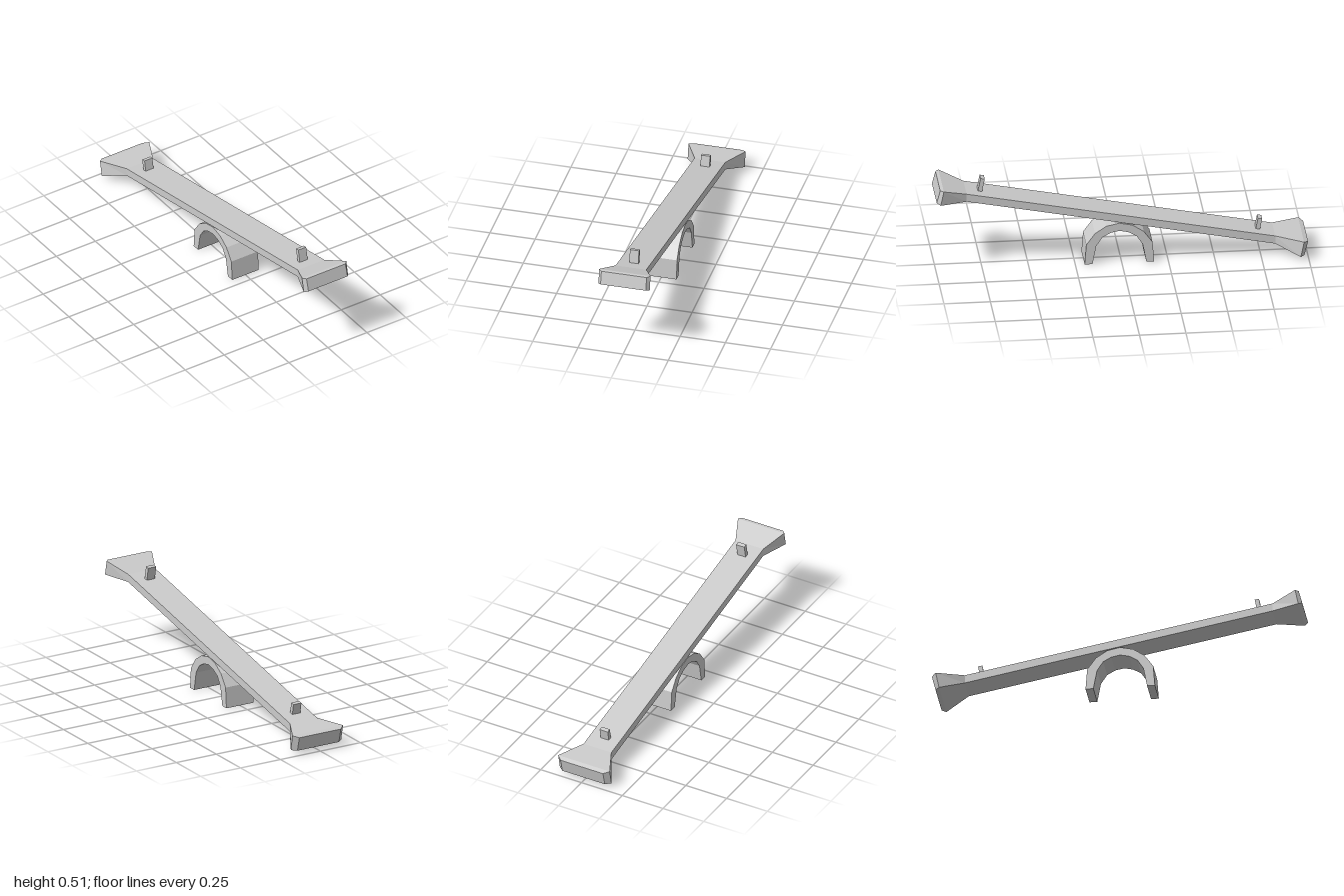
import * as THREE from 'three';

const TILT = -0.195;
const material = new THREE.MeshStandardMaterial({ color: 0xcccccc, flatShading: true });

// Closed solid through rectangular sections: [zTop, yTop, zBottom, yBottom, halfWidth]
function loft(sections) {
  const positions = [];
  const index = [];
  for (const [zt, yt, zb, yb, w] of sections) {
    positions.push(w, yb, zb, w, yt, zt, -w, yt, zt, -w, yb, zb);
  }
  const last = (sections.length - 1) * 4;
  for (let s = 0; s < last; s += 4) {
    for (let i = 0; i < 4; i++) {
      const a = s + i, b = s + (i + 1) % 4;
      index.push(a, b, b + 4, a, b + 4, a + 4);
    }
  }
  index.push(0, 2, 1, 0, 3, 2, last, last + 1, last + 2, last, last + 2, last + 3);
  const geometry = new THREE.BufferGeometry();
  geometry.setAttribute('position', new THREE.Float32BufferAttribute(positions, 3));
  geometry.setIndex(index);
  const flat = geometry.toNonIndexed();
  flat.computeVertexNormals();
  return flat;
}

export function createModel() {
  const group = new THREE.Group();
  const add = (name, geometry) => {
    const mesh = new THREE.Mesh(geometry, material);
    mesh.name = name;
    group.add(mesh);
    return mesh;
  };

  // Tilted plank flaring into a seat with clipped corners at each end
  add('plank', loft([
    [-0.997, 0.1, -0.977, 0.02, 0.13],
    [-0.973, 0.109, -0.955, 0.022, 0.158],
    [-0.825, 0.119, -0.825, 0.074, 0.085],
    [0.835, 0.446, 0.835, 0.402, 0.085],
    [0.963, 0.492, 0.98, 0.411, 0.142],
    [0.981, 0.491, 1.0, 0.42, 0.125],
  ]));

  // Handles standing square to the plank
  for (const [name, y, z] of [['frontHandle', 0.464, 0.75], ['backHandle', 0.157, -0.742]]) {
    const handle = add(name, new THREE.BoxGeometry(0.05, 0.08, 0.023));
    handle.position.set(-0.002, y, z);
    handle.rotation.x = TILT;
  }

  // Arched support, half profiles mirrored about its middle
  const outer = [[0.187, 0], [0.178, 0.115], [0.131, 0.18], [0.07, 0.22], [0, 0.235]];
  const inner = [[0.145, 0], [0.125, 0.105], [0.092, 0.155], [0.048, 0.18], [0, 0.19]];
  const mirror = (half) => [...half, ...half.slice(0, -1).reverse().map(([x, y]) => [-x, y])];
  const profile = [...mirror(outer), ...mirror(inner).reverse()];
  const arch = new THREE.ExtrudeGeometry(
    new THREE.Shape(profile.map(([x, y]) => new THREE.Vector2(x, y))),
    { depth: 0.17, bevelEnabled: false }
  );
  arch.translate(0, 0, -0.085);
  arch.rotateY(-Math.PI / 2);
  add('archSupport', arch).position.z = 0.013;

  return group;
}
